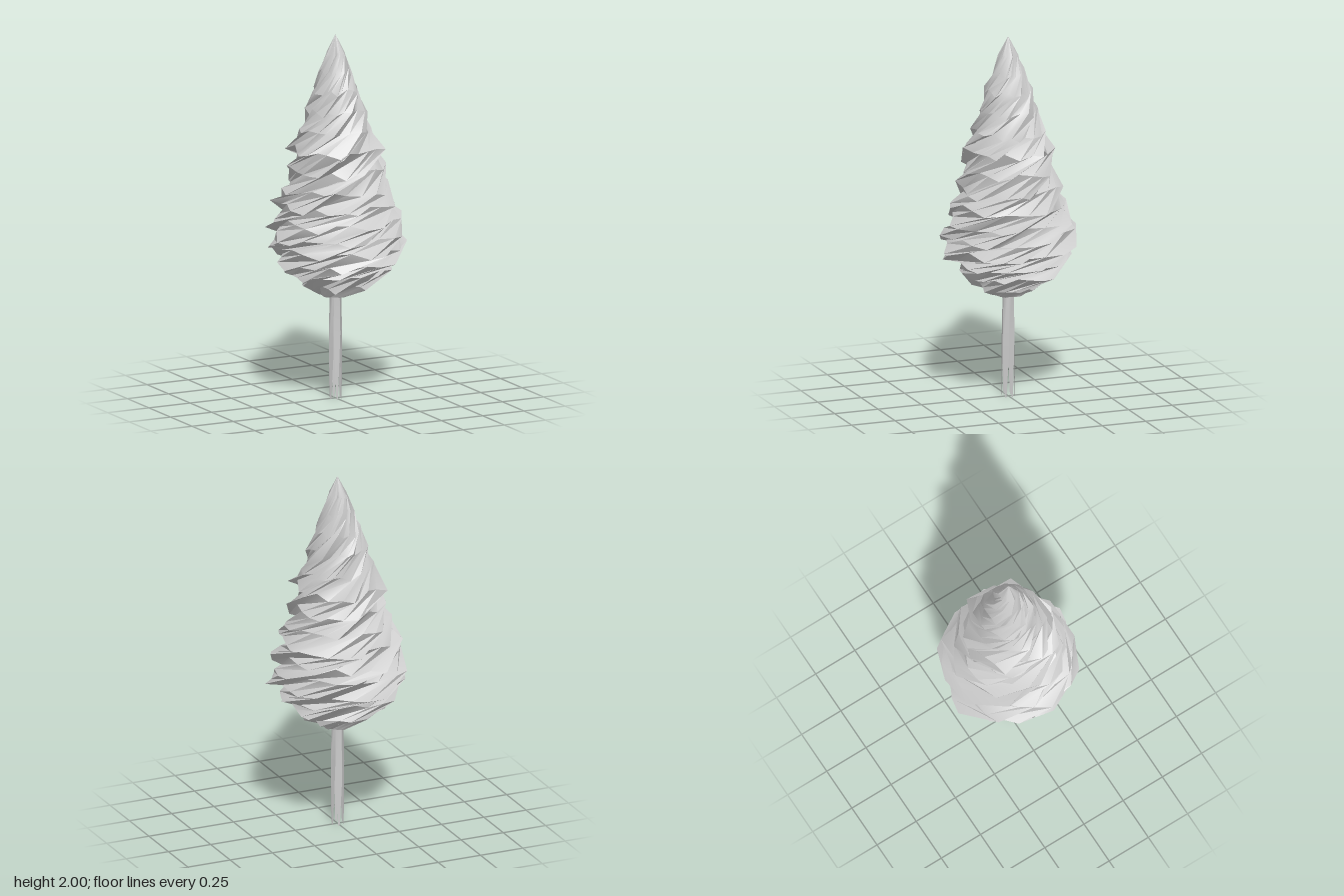
import * as THREE from 'three';
import { toCreasedNormals } from 'three/addons/utils/BufferGeometryUtils.js';

const material = () => new THREE.MeshStandardMaterial({ color: 0xcccccc, side: THREE.DoubleSide });

function seeded(seed) {
  return () => {
    seed = (seed * 16807) % 2147483647;
    return seed / 2147483647;
  };
}

// Crown sections from bottom to tip: height, crest radius
const SECTIONS = [
  [0.62, 0.02], [0.57, 0.09], [0.63, 0.19], [0.70, 0.29], [0.77, 0.34], [0.85, 0.385],
  [0.92, 0.375], [0.99, 0.36], [1.08, 0.335], [1.17, 0.30], [1.27, 0.265], [1.38, 0.26],
  [1.48, 0.205], [1.59, 0.165], [1.70, 0.135], [1.80, 0.09], [1.90, 0.055], [2.0, 0.002],
];

// One fold around the crown: position within the fold, share of the crest radius
const FOLD = [[0, 1], [0.2, 0.84], [0.5, 0.88], [0.78, 0.95]];
const FOLDS = 6;

// Twist is tight at the base and steeper towards the tip
const twist = (y) => 9 * (y - 0.57) - 1.7 * (y - 0.57) ** 2;

function twistedCrown() {
  const random = seeded(4271);
  const jitter = (amount) => (random() - 0.5) * 2 * amount;
  const positions = [];
  const index = [];
  const count = FOLDS * FOLD.length;
  SECTIONS.forEach(([y, radius], row) => {
    const inner = row > 1 && row < SECTIONS.length - 2;
    for (let f = 0; f < FOLDS; f++) {
      for (const [t, share] of FOLD) {
        const angle = ((f + t) / FOLDS) * Math.PI * 2 + twist(y) + (inner ? jitter(0.05) : 0);
        const r = radius * share * (inner ? 1 + jitter(0.06) : 1);
        const dy = inner ? jitter(0.022) : 0;
        positions.push(r * Math.sin(angle), y + dy, r * Math.cos(angle));
      }
    }
  });
  for (let i = 0; i < SECTIONS.length - 1; i++) {
    for (let j = 0; j < count; j++) {
      const a = i * count + j;
      const b = i * count + ((j + 1) % count);
      index.push(a, b, b + count, a, b + count, a + count);
    }
  }
  const geometry = new THREE.BufferGeometry();
  geometry.setAttribute('position', new THREE.Float32BufferAttribute(positions, 3));
  geometry.setIndex(index);
  return toCreasedNormals(geometry, 0.65);
}

// Hollow stem whose sides split into narrow pointed strips at the foot
function splitStem() {
  const sides = 6;
  const positions = [];
  const point = (side, y, r) => {
    const a = (side / sides) * Math.PI * 2 + 0.3;
    return [r * Math.sin(a), y, r * Math.cos(a)];
  };
  const quad = (a, b, c, d) => positions.push(...a, ...b, ...c, ...a, ...c, ...d);
  for (let s = 0; s < sides; s++) {
    const split = s % 2 ? 0.36 : 0.26;
    const a = point(s, split, 0.037);
    const b = point(s + 1, split, 0.037);
    quad(a, b, point(s + 1, 0.66, 0.03), point(s, 0.66, 0.03));
    quad(point(s + 0.38, 0, 0.036), point(s + 0.62, 0, 0.036), b, a);
  }
  const geometry = new THREE.BufferGeometry();
  geometry.setAttribute('position', new THREE.Float32BufferAttribute(positions, 3));
  return toCreasedNormals(geometry, 1.2);
}

export function createModel() {
  const model = new THREE.Group();
  model.name = 'twistedTree';
  const add = (name, geometry) => {
    const mesh = new THREE.Mesh(geometry, material());
    mesh.name = name;
    model.add(mesh);
  };
  add('crown', twistedCrown());
  add('stem', splitStem());
  return model;
}
